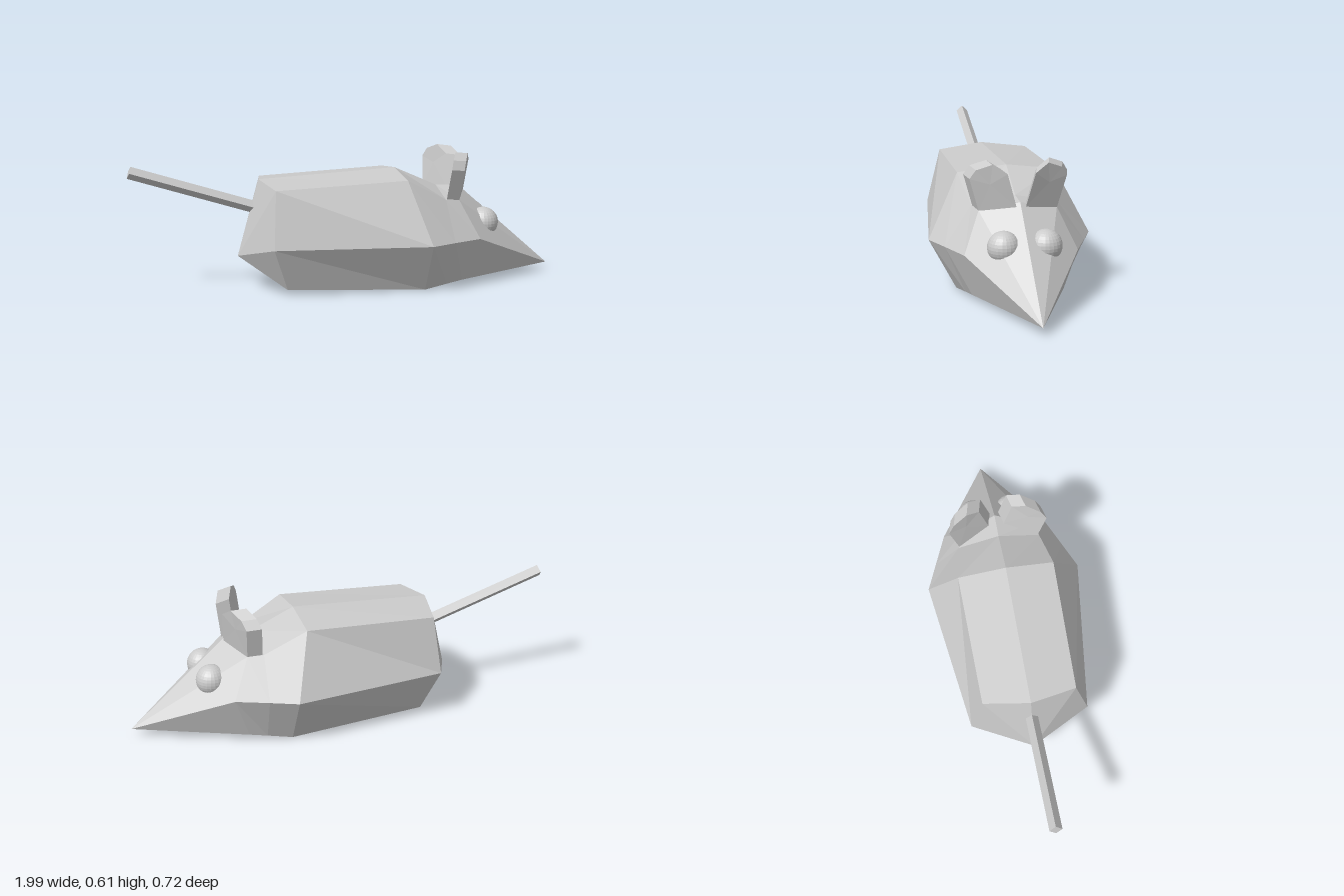
import * as THREE from 'three';

const material = new THREE.MeshStandardMaterial({ color: 0xcccccc, flatShading: true });

// Skin a series of equal-length rings, ordered back to front, counter-clockwise seen from +x
function loft(rings) {
  const pos = [];
  for (let i = 0; i < rings.length - 1; i++) {
    const a = rings[i], b = rings[i + 1], n = a.length;
    for (let j = 0; j < n; j++) {
      const k = (j + 1) % n;
      pos.push(...a[j], ...a[k], ...b[k], ...a[j], ...b[k], ...b[j]);
    }
  }
  const g = new THREE.BufferGeometry();
  g.setAttribute('position', new THREE.Float32BufferAttribute(pos, 3));
  g.computeVertexNormals();
  return g;
}

const mirror = ([x, y, z]) => [x, y, -z];
const point = (p, n) => Array.from({ length: n }, () => p);

function centre(ring) {
  return [0, 1, 2].map(i => ring.reduce((s, p) => s + p[i], 0) / ring.length);
}

function add(group, name, geometry) {
  const mesh = new THREE.Mesh(geometry, material);
  mesh.name = name;
  group.add(mesh);
  return mesh;
}

export function createModel() {
  const group = new THREE.Group();
  group.name = 'mouse';

  // Body: half sections (spine, shoulder, side, lower edge, belly), mirrored in z
  const halves = [
    [[-0.41, 0.50, 0], [-0.37, 0.48, 0.21], [-0.39, 0.225, 0.27], [-0.32, 0.028, 0.20], [-0.31, 0.035, 0]],
    [[0.23, 0.53, 0], [0.23, 0.503, 0.22], [0.31, 0.225, 0.36], [0.31, 0, 0.24], [0.31, 0.022, 0]],
    [[0.43, 0.44, 0], [0.42, 0.402, 0.19], [0.43, 0.225, 0.307], [0.42, 0.015, 0.217], [0.42, 0.03, 0]],
    [[0.54, 0.435, 0], [0.49, 0.395, 0.17], [0.57, 0.223, 0.245], [0.50, 0.025, 0.20], [0.50, 0.04, 0]],
  ];
  const sections = halves.map(h => [...h, ...h.slice(1, 4).reverse().map(mirror)]);
  add(group, 'body', loft([point([-0.51, 0.15, 0], 8), ...sections, point([0.995, 0.036, 0], 8)]));

  // Ears: thick angular slabs leaning outward
  const earFront = [
    [0.49, 0.393, 0.17], [0.56, 0.42, 0.02], [0.57, 0.565, 0.06],
    [0.545, 0.602, 0.12], [0.515, 0.575, 0.185], [0.50, 0.535, 0.21],
  ];
  const earBack = earFront.map(([x, y, z]) => [x - 0.065, y + 0.008, z + 0.016]);
  for (const [name, left] of [['leftEar', true], ['rightEar', false]]) {
    const rings = [point(centre(earBack), 6), earBack, earFront, point(centre(earFront), 6)];
    add(group, name, loft(left ? rings : rings.map(r => r.map(mirror).reverse())));
  }

  // Eyes: spheres half sunk into the face
  for (const s of [1, -1]) {
    const eye = add(group, s > 0 ? 'leftEye' : 'rightEye', new THREE.SphereGeometry(0.07, 24, 16));
    eye.position.set(0.637, 0.27, 0.09 * s);
  }

  // Tail: straight four-sided rod
  const from = new THREE.Vector3(-0.42, 0.37, 0), to = new THREE.Vector3(-0.99, 0.553, 0);
  const axis = to.clone().sub(from);
  const tail = add(group, 'tail', new THREE.CylinderGeometry(0.028, 0.028, axis.length(), 4));
  tail.position.copy(from).add(to).multiplyScalar(0.5);
  tail.quaternion.setFromUnitVectors(new THREE.Vector3(0, 1, 0), axis.normalize());

  return group;
}
